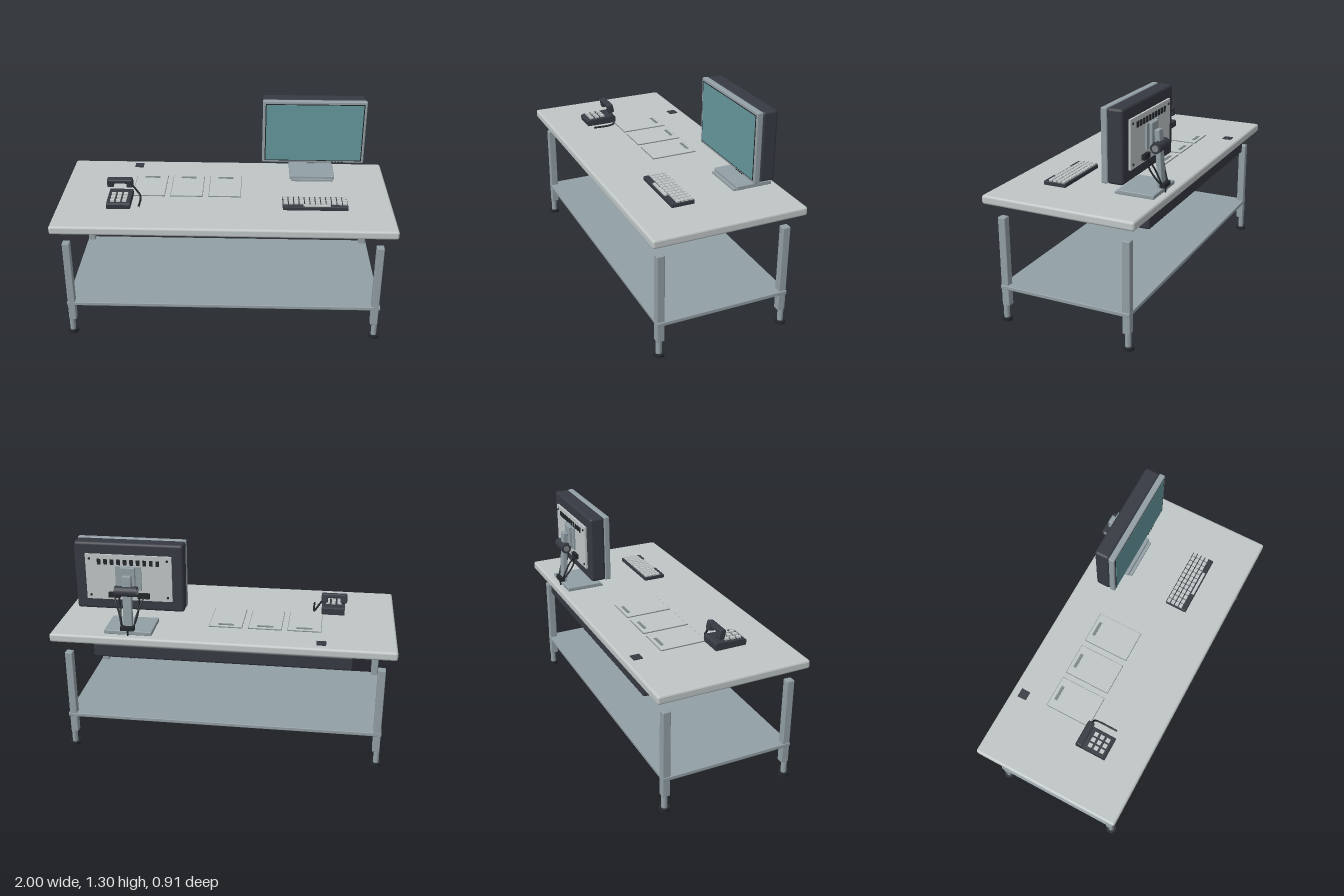
import * as THREE from 'three';
import { RoundedBoxGeometry } from 'three/addons/geometries/RoundedBoxGeometry.js';

const mat = (name, color) => {
  const m = new THREE.MeshStandardMaterial({ color });
  m.name = name;
  return m;
};

export function createModel() {
  const top = mat('pale laminate', 0xc0c6c6);
  const steel = mat('grey steel', 0x929fa5);
  const dark = mat('dark plastic', 0x363a42);
  const black = mat('black rubber', 0x23272b);
  const screenMat = mat('teal screen', 0x64979c);
  const line = mat('outline grey', 0x7d8688);

  const root = new THREE.Group();
  root.name = 'workDesk';
  const group = (name) => {
    const g = new THREE.Group();
    g.name = name;
    root.add(g);
    return g;
  };
  const add = (parent, name, geo, material) => {
    const m = new THREE.Mesh(geo, material);
    m.name = name;
    parent.add(m);
    return m;
  };
  // Box given by its extents; r > 0 rounds the edges
  const box = (parent, name, material, x0, x1, y0, y1, z0, z1, r = 0) => {
    const s = [x1 - x0, y1 - y0, z1 - z0];
    const geo = r ? new RoundedBoxGeometry(...s, 2, r) : new THREE.BoxGeometry(...s);
    const m = add(parent, name, geo, material);
    m.position.set((x0 + x1) / 2, (y0 + y1) / 2, (z0 + z1) / 2);
    return m;
  };
  const cyl = (parent, name, material, r, h, x, y, z, axis = 'y', sides = 20) => {
    const geo = new THREE.CylinderGeometry(r, r, h, sides);
    if (axis === 'x') geo.rotateZ(Math.PI / 2);
    if (axis === 'z') geo.rotateX(Math.PI / 2);
    const m = add(parent, name, geo, material);
    m.position.set(x, y, z);
    return m;
  };
  const cable = (parent, name, pts, r = 0.005) => {
    const curve = new THREE.CatmullRomCurve3(pts.map((p) => new THREE.Vector3(...p)), false, 'centripetal');
    return add(parent, name, new THREE.TubeGeometry(curve, 24, r, 8), black);
  };

  // Desk: top, shelf, legs with adjustable feet, cable tray
  const desk = group('desk');
  box(desk, 'tableTop', top, -1, 1, 0.72, 0.772, -0.456, 0.456, 0.014);
  box(desk, 'lowerShelf', steel, -0.948, 0.942, 0.2, 0.223, -0.4, 0.404, 0.004);
  for (const sx of [-1, 1]) for (const sz of [-1, 1]) {
    const leg = new THREE.Group();
    leg.name = 'leg';
    leg.position.set(-0.005 + sx * 0.917, 0, 0.002 + sz * 0.378);
    desk.add(leg);
    box(leg, 'legPost', steel, -0.022, 0.022, 0.094, 0.63, -0.023, 0.023, 0.005);
    const x = sx * 0.006, z = sz * 0.006;
    cyl(leg, 'legRod', steel, 0.017, 0.13, x, 0.08, z);
    cyl(leg, 'foot', black, 0.032, 0.018, x, 0.01, z);
  }
  box(desk, 'cableTray', dark, -0.755, 0.746, 0.631, 0.713, -0.424, -0.324, 0.01);
  for (const x of [0.527, 0.548]) {
    cyl(desk, 'hangingCable', black, 0.004, 0.13, x, 0.655, -0.342, 'y', 8);
  }
  for (const x of [0.527, 0.545, 0.563]) {
    cyl(desk, 'trayCable', black, 0.004, 0.02, x, 0.707, -0.322, 'y', 8);
  }
  box(desk, 'cablePort', dark, -0.6, -0.545, 0.772, 0.776, -0.41, -0.355);

  // Three document panels with outlines and clips
  const papers = group('documentPanels');
  [-0.4675, -0.2365, -0.003].forEach((x) => {
    box(papers, 'panelOutline', line, x - 0.099, x + 0.099, 0.7715, 0.776, -0.231, 0.053);
    box(papers, 'panel', top, x - 0.096, x + 0.096, 0.772, 0.778, -0.228, 0.05);
    box(papers, 'panelClip', line, x - 0.047, x + 0.047, 0.778, 0.781, -0.208, -0.19);
  });

  // Monitor: front frame, screen, rear shell
  const monitor = group('monitor');
  const cx = 0.538;
  box(monitor, 'frontFrame', steel, 0.222, 0.854, 0.894, 1.297, -0.234, -0.199, 0.006);
  box(monitor, 'screenBorder', black, 0.238, 0.839, 0.908, 1.28, -0.2, -0.1975);
  box(monitor, 'screen', screenMat, 0.244, 0.833, 0.913, 1.275, -0.2, -0.196);
  box(monitor, 'rearShell', dark, 0.222, 0.854, 0.894, 1.297, -0.324, -0.232, 0.016);
  for (let i = 0; i < 4; i++) {
    box(monitor, 'controlButton', black, 0.655 + i * 0.02, 0.665 + i * 0.02, 0.897, 0.903, -0.2, -0.196);
  }
  // Rear panel with vents and screws
  box(monitor, 'rearPanel', top, cx - 0.25, cx + 0.25, 0.96, 1.23, -0.336, -0.322);
  for (let i = 0; i < 10; i++) {
    const x = cx - 0.17 + i * 0.0378;
    box(monitor, 'ventSlot', black, x - 0.01, x + 0.01, 1.172, 1.204, -0.341, -0.334);
  }
  for (const sx of [-1, 1]) for (const y of [0.985, 1.205]) {
    cyl(monitor, 'panelScrew', black, 0.007, 0.006, cx + sx * 0.225, y, -0.338, 'z', 10);
  }
  box(monitor, 'mountPlate', steel, cx - 0.075, cx + 0.075, 1.025, 1.165, -0.346, -0.334);
  box(monitor, 'mountBracket', steel, cx - 0.042, cx + 0.042, 1.025, 1.165, -0.362, -0.344, 0.004);

  // Stand: leaning column, hinge, base
  const column = box(monitor, 'standColumn', steel, cx - 0.026, cx + 0.026, 0.79, 1.125, -0.405, -0.375, 0.005);
  column.rotation.x = 0.06;
  cyl(monitor, 'hinge', dark, 0.03, 0.13, cx + 0.005, 1.035, -0.392, 'x', 24);
  for (const s of [-1, 1]) {
    cyl(monitor, 'hingeCap', line, 0.018, 0.006, cx + 0.005 + s * 0.065, 1.035, -0.392, 'x');
  }
  box(monitor, 'hingeArm', dark, cx - 0.03, cx + 0.03, 1.015, 1.055, -0.39, -0.355);
  box(monitor, 'standBase', steel, 0.4, 0.68, 0.775, 0.8, -0.418, -0.199, 0.005);
  box(monitor, 'basePad', steel, 0.41, 0.67, 0.772, 0.783, -0.3, -0.18);

  // Connectors and cables looping down to the clip
  for (const s of [-1, 1]) {
    box(monitor, 'connector', black, cx + s * 0.085 - 0.035, cx + s * 0.085 + 0.035, 0.978, 1.008, -0.355, -0.334);
    cable(monitor, 'monitorCable', [[cx + s * 0.085, 0.985, -0.35], [cx + s * 0.07, 0.945, -0.375],
      [cx + s * 0.05, 0.89, -0.395], [cx + s * 0.035, 0.82, -0.42]]);
    cable(monitor, 'innerCable', [[cx + s * 0.06, 0.985, -0.345], [cx + s * 0.055, 0.92, -0.35],
      [cx + s * 0.045, 0.86, -0.385], [cx + s * 0.03, 0.82, -0.415]]);
  }
  box(monitor, 'cableClip', black, cx - 0.04, cx + 0.04, 0.808, 0.831, -0.436, -0.405);
  cable(monitor, 'downCable', [[cx, 0.815, -0.425], [cx, 0.79, -0.424], [cx, 0.765, -0.42]]);

  // Keyboard: four full rows and a space bar row
  const keyboard = group('keyboard');
  box(keyboard, 'keyboardBody', dark, 0.345, 0.73, 0.779, 0.803, 0.09, 0.226, 0.004);
  for (let r = 0; r < 4; r++) for (let c = 0; c < 12; c++) {
    const x = 0.362 + c * 0.0319, z = 0.106 + r * 0.0265;
    box(keyboard, 'key', top, x - 0.0125, x + 0.0125, 0.8, 0.813, z - 0.01, z + 0.01);
  }
  box(keyboard, 'spaceBar', top, 0.465, 0.625, 0.8, 0.811, 0.204, 0.221);

  // Desk phone: sloped body moulded from a side profile
  const phone = group('phone');
  const side = new THREE.Shape([[0.04, 0.774], [0.23, 0.774], [0.234, 0.802], [0.22, 0.81], [0.05, 0.818], [0.04, 0.812]]
    .map(([z, y]) => new THREE.Vector2(-z, y)));
  const bodyGeo = new THREE.ExtrudeGeometry(side, { depth: 0.14, bevelEnabled: false });
  bodyGeo.rotateY(Math.PI / 2);
  add(phone, 'phoneBody', bodyGeo, dark).position.x = -0.698;
  for (let r = 0; r < 3; r++) for (let c = 0; c < 3; c++) {
    const x = -0.665 + c * 0.036, z = 0.122 + r * 0.038;
    box(phone, 'phoneButton', top, x - 0.012, x + 0.012, 0.805, 0.826 - r * 0.002, z - 0.012, z + 0.012);
  }
  // Raised handset with two drooping ends
  const handset = new THREE.Group();
  handset.name = 'handset';
  handset.position.set(-0.632, 0.873, 0.072);
  handset.rotation.x = 0.2;
  phone.add(handset);
  box(handset, 'handsetGrip', dark, -0.077, 0.077, 0, 0.028, -0.02, 0.02, 0.008);
  for (const s of [-1, 1]) {
    box(handset, 'handsetEnd', dark, s * 0.058 - 0.02, s * 0.058 + 0.02, -0.028, 0.016, -0.02, 0.02, 0.008);
  }
  cable(phone, 'handsetCord', [[-0.565, 0.86, 0.068], [-0.54, 0.825, 0.068], [-0.515, 0.785, 0.07],
    [-0.51, 0.778, 0.1], [-0.51, 0.778, 0.212]], 0.006);

  return root;
}
